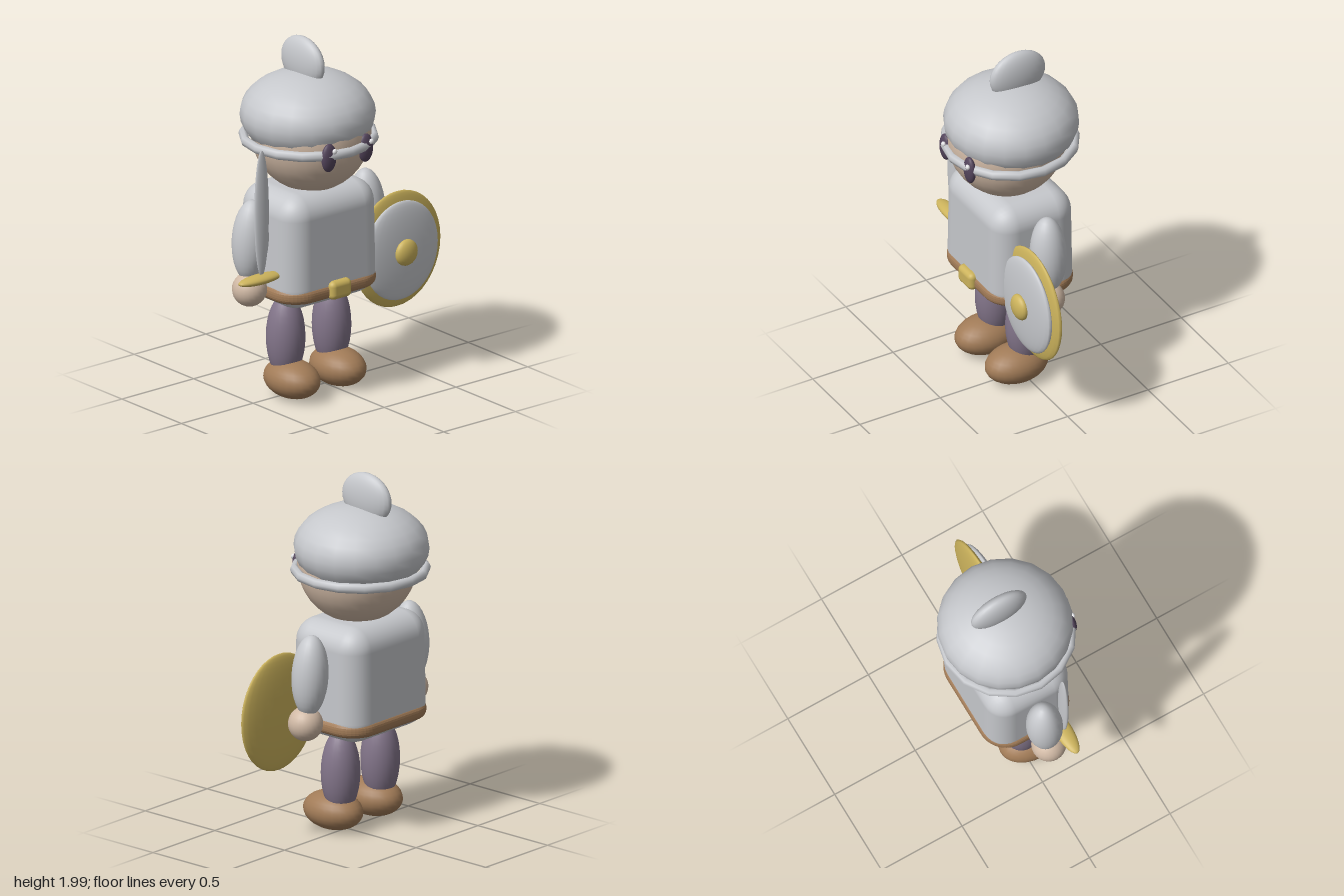
import * as THREE from 'three';
import { RoundedBoxGeometry } from 'three/addons/geometries/RoundedBoxGeometry.js';

const CX = -0.113; // the body's middle; the shield shifts it off centre

const paint = (name, color) => {
  const m = new THREE.MeshStandardMaterial({ color });
  m.name = name;
  return m;
};

export function createModel() {
  const steel = paint('steel', 0xc6c8cc);
  const skin = paint('skin', 0xd0b9a5);
  const cloth = paint('plum cloth', 0x83758a);
  const leather = paint('brown leather', 0xa17b57);
  const gold = paint('gold', 0xccb35c);
  const dark = paint('dark eye', 0x54455c);
  const white = paint('eye white', 0xf2f2f4);

  const model = new THREE.Group();
  model.name = 'toySoldier';

  const add = (name, geometry, material, x, y, z) => {
    const mesh = new THREE.Mesh(geometry, material);
    mesh.name = name;
    mesh.position.set(x, y, z);
    model.add(mesh);
    return mesh;
  };
  // Ellipsoid with its radii baked into the geometry
  const blob = (name, material, [x, y, z], [rx, ry, rz], w = 24, h = 16) =>
    add(name, new THREE.SphereGeometry(1, w, h).scale(rx, ry, rz), material, x, y, z);

  // Legs, feet, arms, hands and eyes in mirrored pairs
  for (const [side, s] of [['left', 1], ['right', -1]]) {
    blob(side + 'Foot', leather, [CX + s * 0.16, 0.115, 0.053], [0.132, 0.106, 0.183]);
    blob(side + 'Leg', cloth, [CX + s * 0.16, 0.34, 0], [0.107, 0.24, 0.107]);
    const arm = blob(side + 'Arm', steel, [CX + s * 0.407, 0.945, 0], [0.1, 0.226, 0.1]);
    arm.rotation.z = s * 0.07;
    blob(side + 'Hand', skin, [CX + s * 0.425, 0.675, 0.016], [0.095, 0.095, 0.095]);
    blob(side + 'Eye', dark, [CX + s * 0.128, 1.44, 0.325], [0.048, 0.08, 0.027]);
    blob(side + 'EyeGlint', white, [CX + s * 0.128 + 0.02, 1.478, 0.35], [0.015, 0.015, 0.012], 12, 8);
  }

  // Torso: rounded box, slightly narrower towards the top
  const torso = new RoundedBoxGeometry(0.65, 0.65, 0.51, 4, 0.13);
  const p = torso.attributes.position;
  for (let i = 0; i < p.count; i++) {
    const k = 1 - 0.03 * (p.getY(i) + 0.325) / 0.65;
    p.setX(i, p.getX(i) * k);
    p.setZ(i, p.getZ(i) * k);
  }
  torso.computeBoundingSphere();
  add('torso', torso, steel, CX, 0.875, 0);

  // Belt: bevelled rounded rectangle around the torso
  const hw = 0.297, hd = 0.225, r = 0.12;
  const outline = new THREE.Shape();
  outline.absarc(hw - r, hd - r, r, 0, Math.PI / 2);
  outline.absarc(r - hw, hd - r, r, Math.PI / 2, Math.PI);
  outline.absarc(r - hw, r - hd, r, Math.PI, Math.PI * 1.5);
  outline.absarc(hw - r, r - hd, r, Math.PI * 1.5, Math.PI * 2);
  const belt = new THREE.ExtrudeGeometry(outline, {
    depth: 0.014, bevelThickness: 0.036, bevelSize: 0.038, bevelSegments: 5, curveSegments: 6,
  });
  belt.translate(0, 0, -0.007).rotateX(-Math.PI / 2);
  add('belt', belt, leather, CX, 0.64, 0);
  add('buckle', new RoundedBoxGeometry(0.145, 0.105, 0.07, 3, 0.03), gold, CX, 0.647, 0.255);

  // Head and helmet
  blob('head', skin, [CX, 1.48, 0.022], [0.325, 0.325, 0.325], 32, 20);
  blob('helmetDome', steel, [CX, 1.58, -0.008], [0.367, 0.236, 0.367], 20, 16);
  const rim = new THREE.TorusGeometry(0.354, 0.025, 8, 16).rotateX(Math.PI / 2).scale(1, 1.15, 1);
  add('helmetRim', rim, steel, CX, 1.452, 0);
  blob('helmetCrest', steel, [CX, 1.862, -0.047], [0.058, 0.14, 0.17]);

  // Sword held in the right hand
  blob('swordBlade', steel, [-0.532, 1.13, 0.11], [0.049, 0.36, 0.017]);
  blob('swordGuard', gold, [-0.538, 0.757, 0.108], [0.15, 0.027, 0.049]);

  // Round shield on the left arm
  blob('shieldBack', gold, [0.382, 0.73, 0.147], [0.302, 0.328, 0.039], 24, 20);
  blob('shieldFace', steel, [0.38, 0.73, 0.183], [0.256, 0.28, 0.041], 24, 20);
  blob('shieldBoss', gold, [0.38, 0.73, 0.228], [0.073, 0.074, 0.038]);

  return model;
}
